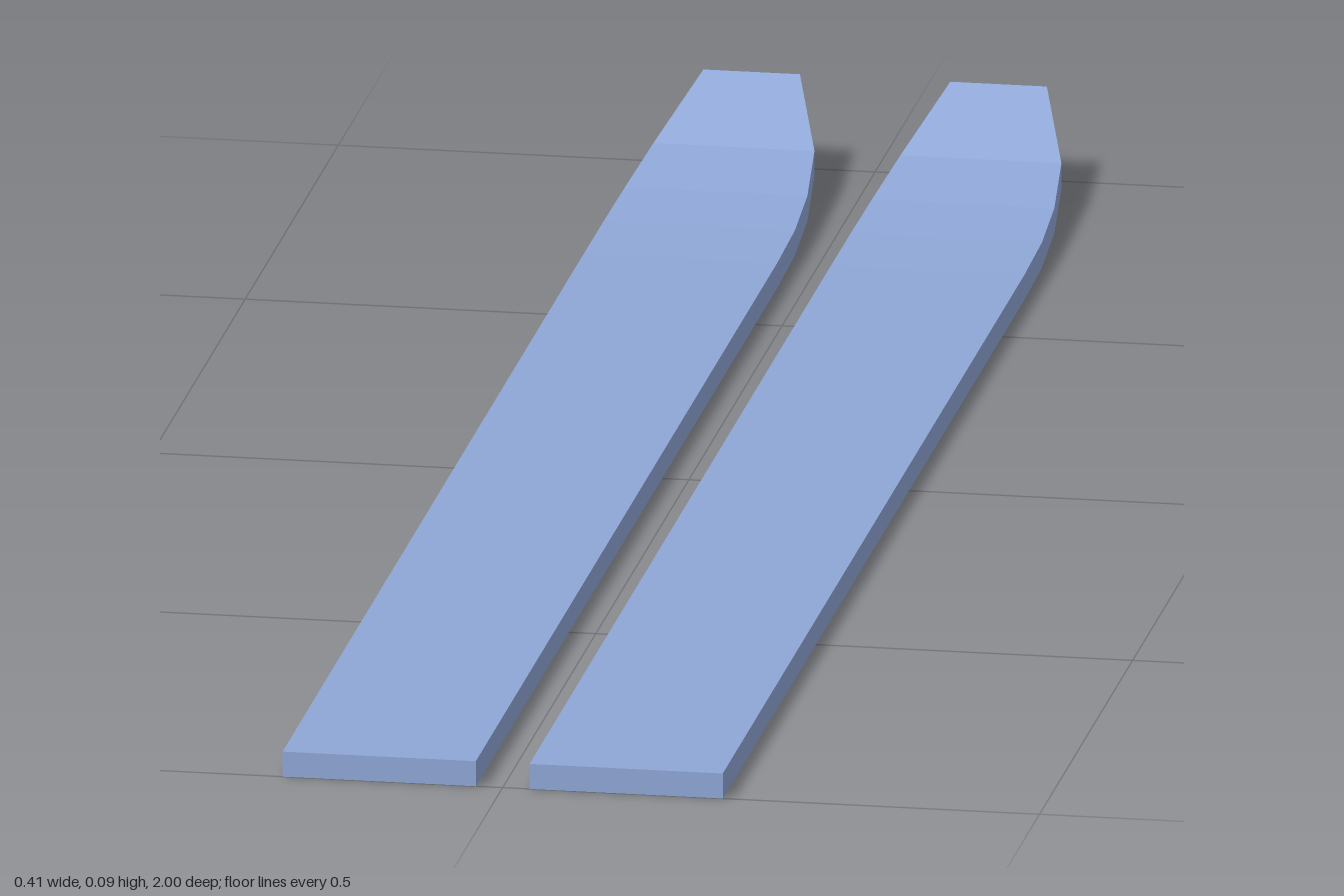
import * as THREE from 'three';

// Stations along the ski, tip first: [z, rise of the curve]
const stations = [[-1, 0.066], [-0.905, 0.022], [-0.81, 0.0075], [-0.72, 0.0015], [-0.62, 0], [1, 0]];
const thickness = 0.024;
const halfWidth = 0.09;
const spacing = 0.115;

// Flat plank whose end curves up and narrows in proportion to its rise
function skiGeometry() {
  const count = stations.length - 1;
  const geometry = new THREE.BoxGeometry(2, thickness, count, 1, 1, count);
  const pos = geometry.attributes.position;
  for (let i = 0; i < pos.count; i++) {
    const [z, rise] = stations[Math.round(pos.getZ(i) + count / 2)];
    const half = halfWidth - 0.045 * rise / 0.066;
    pos.setXYZ(i, pos.getX(i) * half, pos.getY(i) + thickness / 2 + rise, z);
  }
  geometry.computeVertexNormals();
  return geometry;
}

export function createModel() {
  const group = new THREE.Group();
  group.name = 'skis';
  const material = new THREE.MeshStandardMaterial({ color: 0x8fa6d6, flatShading: true });
  const geometry = skiGeometry();

  // Matching pair
  for (const [name, side] of [['leftSki', 1], ['rightSki', -1]]) {
    const ski = new THREE.Mesh(geometry, material);
    ski.name = name;
    ski.position.x = side * spacing;
    group.add(ski);
  }
  return group;
}
